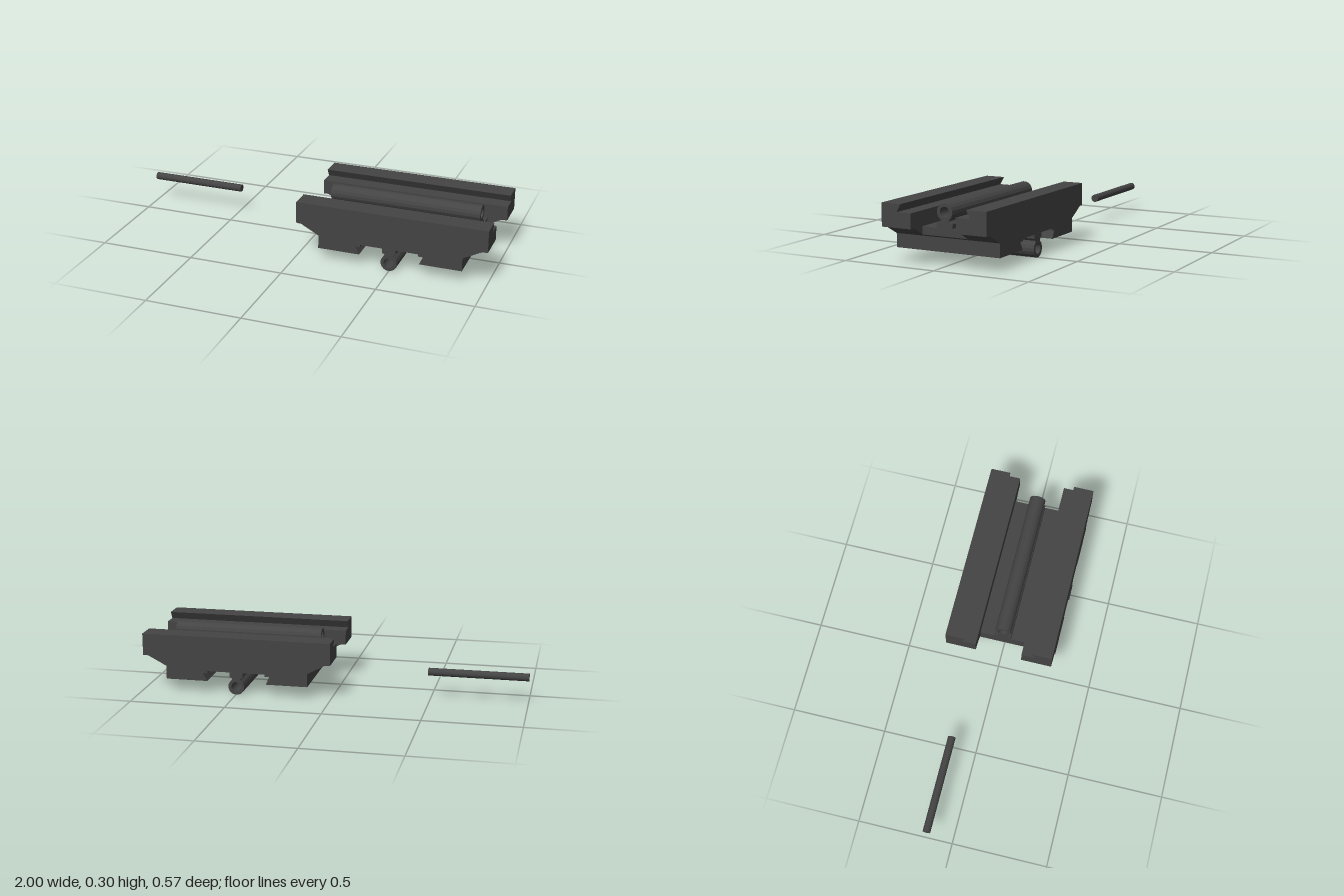
import * as THREE from 'three';

const MID = 0.4975; // x of the block's lower symmetry line

const shapeOf = (pts) => new THREE.Shape(pts.map(([x, y]) => new THREE.Vector2(x, y)));

// Extrude a profile, centred along its own depth.
function prism(pts, depth, hole) {
  const shape = shapeOf(pts);
  if (hole) shape.holes.push(hole);
  const geo = new THREE.ExtrudeGeometry(shape, { depth, bevelEnabled: false, curveSegments: 10 });
  return geo.translate(0, 0, -depth / 2);
}

// Underside outline with the dovetail slot, running left to right in x.
const underside = [
  [0.12, 0.135], [0.12, 0.065], [0.34, 0.065], [0.32, 0.107], [0.345, 0.107], [0.345, 0.119],
  [0.65, 0.119], [0.65, 0.107], [0.675, 0.107], [0.655, 0.065], [0.875, 0.065], [0.875, 0.135],
];

// Hollow hinge tube on a neck and foot; the tube's axis is the origin.
function railGeometry(foot, length) {
  const right = [[foot, -0.078], [foot, -0.055], [foot - 0.004, -0.05], [0.029, -0.05], [0.021, -0.043]];
  const arc = [];
  const a0 = -Math.PI * 0.31, a1 = Math.PI * 1.31;
  for (let i = 0; i <= 13; i++) {
    const a = a0 + (a1 - a0) * i / 13;
    arc.push([0.043 * Math.cos(a), 0.043 * Math.sin(a)]);
  }
  const left = right.map(([x, y]) => [-x, y]).reverse();
  const hole = new THREE.Path().absarc(0, 0, 0.026, 0, Math.PI * 2, true);
  return prism([...right, ...arc, ...left], length, hole);
}

export function createModel() {
  const model = new THREE.Group();
  model.name = 'slidePlate';
  const steel = new THREE.MeshStandardMaterial({ color: 0x444444 });
  steel.name = 'dark steel';

  const add = (name, geo, x = 0, y = 0, z = 0) => {
    const mesh = new THREE.Mesh(geo, steel);
    mesh.name = name;
    mesh.position.set(x, y, z);
    model.add(mesh);
    return mesh;
  };

  // Middle web, shortened at both ends
  add('middleWeb', prism([
    [0.1, 0.185], [0.1, 0.145], ...underside, [0.897, 0.145], [0.897, 0.185],
  ], 0.246));

  // Side jaws, each with an undercut lip along the top
  const jaw = prism([
    [0, 0.262], [0, 0.186], [0.025, 0.186], ...underside, [0.972, 0.186], [1, 0.186], [1, 0.262],
  ], 0.162);
  for (const s of [1, -1]) {
    const side = s > 0 ? 'front' : 'back';
    add(side + 'Jaw', jaw, 0, 0, s * 0.204);
    const lip = [[0.285, 0.262], [0.285, 0.302], [0.178, 0.302], [0.2, 0.262]];
    const geo = prism(lip.map(([z, y]) => [-s * z, y]), 1).rotateY(Math.PI / 2);
    add(side + 'Lip', geo, 0.5, 0, 0);
  }

  // Hinge tubes: one across the top, one hanging in the lower slot
  add('upperTube', railGeometry(0.044, 0.797).rotateY(Math.PI / 2), 0.4985, 0.262, 0);
  add('lowerTube', railGeometry(0.036, 0.571).rotateZ(Math.PI), MID, 0.043, 0);

  // Loose pin
  add('pin', new THREE.CylinderGeometry(0.02, 0.02, 0.515, 16).rotateZ(Math.PI / 2), -0.7425, 0.14, -0.13);

  return model;
}
